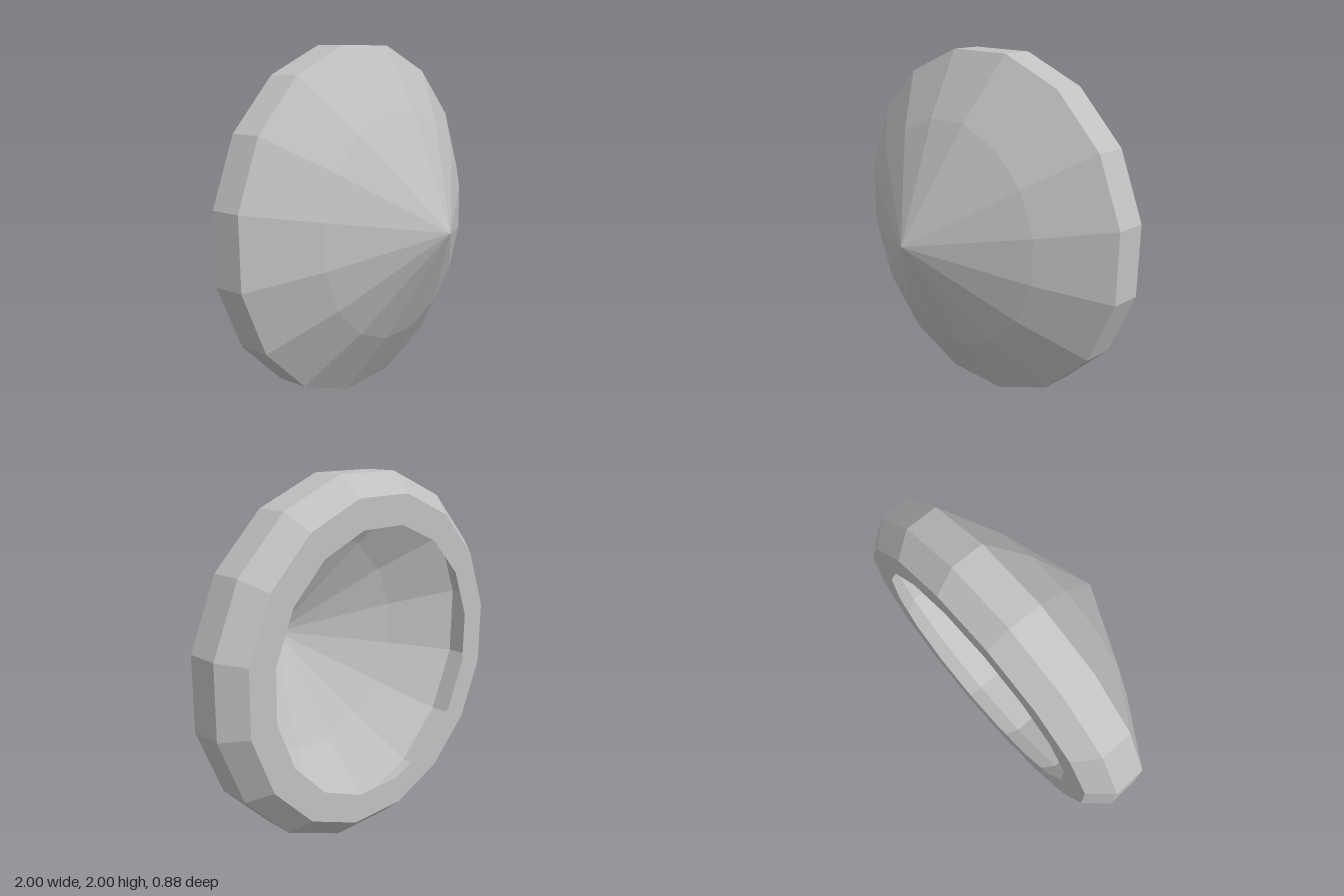
import * as THREE from 'three';

const SIDES = 16;
const CORNER = 1 / Math.cos(Math.PI / SIDES); // flat-to-flat radius -> corner radius

export function createModel() {
  const group = new THREE.Group();
  group.name = 'facetedDish';
  const grey = new THREE.MeshStandardMaterial({
    color: 0xc0c0c0, flatShading: true, side: THREE.DoubleSide,
  });
  grey.name = 'grey';

  // Sixteen-sided ring of facets; profile runs [flat radius, z] from back to front
  function facets(name, profile) {
    const points = profile.map(([r, z]) => new THREE.Vector2(r * CORNER, z));
    let geometry = new THREE.LatheGeometry(points, SIDES, Math.PI / SIDES);
    geometry.rotateX(Math.PI / 2);
    geometry = geometry.toNonIndexed();
    geometry.computeVertexNormals();
    const mesh = new THREE.Mesh(geometry, grey);
    mesh.name = name;
    mesh.position.y = 1;
    group.add(mesh);
  }

  // Flat lip around the open back
  facets('backLip', [[0.73, -0.44], [0.89, -0.44]]);
  // Bevel and straight outer band
  facets('backBevel', [[0.89, -0.44], [1, -0.32]]);
  facets('outerBand', [[1, -0.32], [1, -0.14]]);
  // Hollow pointed front in two slopes
  facets('frontCone', [[1, -0.14], [0.645, 0.1], [0, 0.44]]);

  return group;
}
